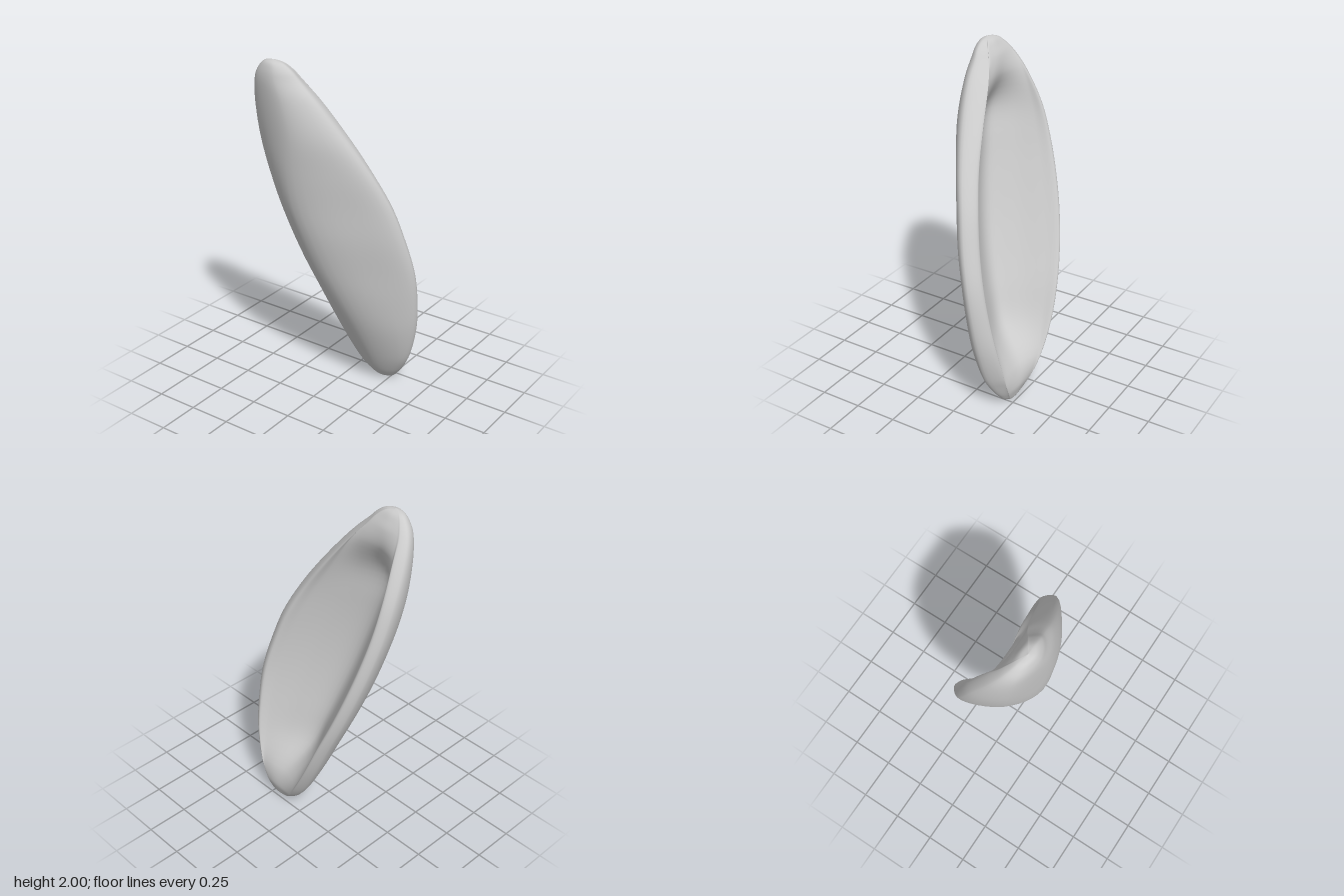
import * as THREE from 'three';
import { mergeVertices } from 'three/addons/utils/BufferGeometryUtils.js';

const { lerp, smoothstep } = THREE.MathUtils;

// Cross-section sizes by height: y, back edge z, front edge z, belly x, back lip x, front lip x
const SECTIONS = [
  [0.015, 0.135, 0.268, 0.165, 0.23, 0.226],
  [0.05, 0.085, 0.302, 0.135, 0.247, 0.237],
  [0.1, 0.03, 0.34, 0.105, 0.265, 0.243],
  [0.2, -0.045, 0.395, 0.058, 0.288, 0.246],
  [0.4, -0.15, 0.45, -0.025, 0.299, 0.224],
  [0.6, -0.235, 0.47, -0.1, 0.286, 0.187],
  [0.8, -0.315, 0.467, -0.165, 0.253, 0.147],
  [1.0, -0.38, 0.43, -0.218, 0.208, 0.1],
  [1.2, -0.43, 0.37, -0.257, 0.153, 0.055],
  [1.4, -0.463, 0.275, -0.283, 0.092, 0],
  [1.6, -0.472, 0.15, -0.298, 0.025, -0.05],
  [1.8, -0.445, 0, -0.3, -0.07, -0.105],
  [1.9, -0.408, -0.095, -0.292, -0.135, -0.15],
  [1.95, -0.37, -0.14, -0.281, -0.17, -0.178],
  [1.985, -0.325, -0.192, -0.262, -0.2, -0.203],
];
const BOTTOM = new THREE.Vector3(0.2, 0, 0.205);
const TOP = new THREE.Vector3(-0.23, 2, -0.26);

// Closed trough-shaped section: outer hull, rounded lips and a hollow that fades out at both tips
function sectionPoints([y, zb, zf, xl, xb, xf]) {
  const hollow = smoothstep(y, 0.05, 0.42) * (1 - smoothstep(y, 1.58, 1.96));
  const sharp = smoothstep(y, 0.1, 0.9) * (1 - smoothstep(y, 1.2, 1.8)); // flat front flank amidships
  const half = (zf - zb) / 2, zm = (zb + zf) / 2;
  const belly = zm + half * lerp(y > 1 ? 0.2 : 0, -0.25, sharp);
  const keel = zm - 0.25 * half * hollow;
  const w = Math.min(0.12, half * 0.5);
  const floor = lerp((xb + xf) / 2 + 0.008, xl + 0.09, hollow);
  return [
    [xb, zb + w * 0.42],
    [xb - w * 0.42, zb],
    [lerp(xl, xb, 0.3), zm - half * 0.76],
    [xl, belly],
    [lerp(xl, xf, lerp(0.25, 0.36, sharp)), zm + half * lerp(0.8, 0.57, sharp)],
    [xf - w * lerp(0.8, 0.6, sharp), zf],
    [xf, zf - w * 0.55],
    [lerp(xf, floor, 0.24), lerp(zf, keel, 0.26)],
    [lerp(xf, floor, 0.7), lerp(zf, keel, 0.57)],
    [floor, keel],
    [lerp(xb, floor, 0.68), lerp(zb, keel, 0.62)],
    [lerp(xb, floor, 0.22), lerp(zb, keel, 0.32)],
  ].map(([x, z]) => new THREE.Vector3(x, y, z));
}

export function createModel() {
  const group = new THREE.Group();
  const rings = SECTIONS.map(sectionPoints);

  // Lengthwise ribs from the bottom tip to the top tip
  const ribs = rings[0].map((_, i) =>
    new THREE.CatmullRomCurve3([BOTTOM, ...rings.map((r) => r[i]), TOP]));

  // Skin the ribs with smooth closed rings
  const rows = 110, cols = 72;
  const positions = [], indices = [];
  for (let j = 0; j <= rows; j++) {
    const t = (1 - Math.cos((Math.PI * j) / rows)) / 2;
    const ring = new THREE.CatmullRomCurve3(ribs.map((r) => r.getPoint(t)), true);
    for (let i = 0; i < cols; i++) {
      const p = j === 0 ? BOTTOM : j === rows ? TOP : ring.getPoint(i / cols);
      positions.push(p.x, p.y, p.z);
      if (j === rows) continue;
      const a = j * cols + i, b = j * cols + ((i + 1) % cols);
      const c = a + cols, d = b + cols;
      if (j > 0) indices.push(a, b, d);
      if (j < rows - 1) indices.push(a, d, c);
    }
  }
  let geometry = new THREE.BufferGeometry();
  geometry.setAttribute('position', new THREE.Float32BufferAttribute(positions, 3));
  geometry.setIndex(indices);
  geometry = mergeVertices(geometry, 1e-5);
  geometry.computeVertexNormals();

  const shell = new THREE.Mesh(geometry, new THREE.MeshStandardMaterial({ color: 0xcccccc }));
  shell.name = 'hollowShell';
  group.add(shell);
  return group;
}
